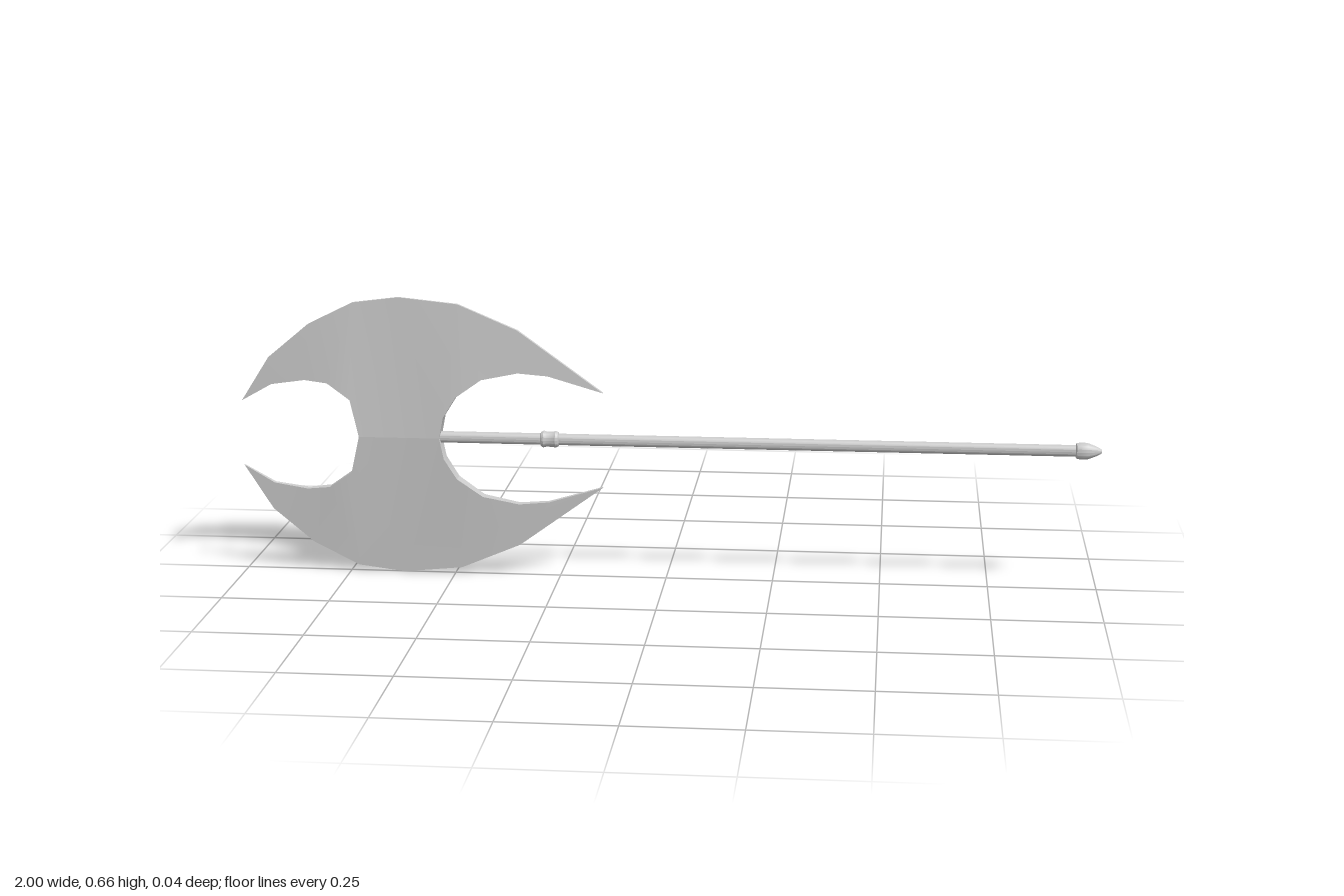
import * as THREE from 'three';
import { toCreasedNormals } from 'three/addons/utils/BufferGeometryUtils.js';

const CENTRE_Y = 0.33;

// Points are [x, height above the centre line, half thickness]
const tipL = [-1, 0.078, 0.003], tipR = [-0.147, 0.113, 0.005];
const o1 = [-0.933, 0.183, 0.004], o2 = [-0.837, 0.263, 0.004], o3 = [-0.73, 0.316, 0.004];
const o4 = [-0.623, 0.33, 0.003], o5 = [-0.484, 0.316, 0.004], o6 = [-0.345, 0.257, 0.005];

// Cross-sections from the left tip to the right tip: [cutting edge, inner rim]
const sections = [
  [tipL, tipL],
  [o1, [-0.928, 0.119, 0.006]],
  [o2, [-0.848, 0.131, 0.009]],
  [o3, [-0.794, 0.125, 0.013]],
  [o3, [-0.74, 0.087, 0.018]],
  [o4, [-0.72, 0, 0.02]],
  [o4, [-0.53, 0, 0.02]],
  [o5, [-0.52, 0.05, 0.019]],
  [o5, [-0.49, 0.098, 0.0175]],
  [o5, [-0.43, 0.14, 0.0135]],
  [o6, [-0.345, 0.157, 0.01]],
  [o6, [-0.275, 0.151, 0.008]],
  [tipR, tipR],
];

// One half of the double blade; side is 1 for upper, -1 for lower
function bladeGeometry(side) {
  const positions = [];
  const at = (p, z) => [p[0], p[1] * side, p[2] * z];
  const same = (a, b) => a.every((v, i) => v === b[i]);
  const tri = (a, b, c) => {
    if (same(a, b) || same(b, c) || same(a, c)) return;
    positions.push(...a, ...(side > 0 ? b : c), ...(side > 0 ? c : b));
  };
  const quad = (a, b, c, d) => { tri(a, b, c); tri(a, c, d); };

  for (let i = 0; i < sections.length - 1; i++) {
    const [a0, b0] = sections[i], [a1, b1] = sections[i + 1];
    // Front and back faces
    quad(at(a0, 1), at(b0, 1), at(b1, 1), at(a1, 1));
    quad(at(a0, -1), at(a1, -1), at(b1, -1), at(b0, -1));
    // Cutting edge, then inner rim (open where the halves meet)
    quad(at(a0, 1), at(a1, 1), at(a1, -1), at(a0, -1));
    if (b0[1] || b1[1]) quad(at(b0, 1), at(b0, -1), at(b1, -1), at(b1, 1));
  }
  const geometry = new THREE.BufferGeometry();
  geometry.setAttribute('position', new THREE.Float32BufferAttribute(positions, 3));
  geometry.computeVertexNormals();
  return toCreasedNormals(geometry, 0.4);
}

// Turned part along x from [x, radius] pairs
function turned(profile) {
  const points = profile.map(([x, r]) => new THREE.Vector2(r, x));
  const geometry = new THREE.LatheGeometry(points, 16);
  geometry.rotateZ(-Math.PI / 2);
  return toCreasedNormals(geometry, 0.5);
}

export function createModel() {
  const model = new THREE.Group();
  model.name = 'doubleAxe';
  const steel = new THREE.MeshStandardMaterial({ color: 0xcccccc });
  steel.name = 'steel';

  const add = (name, geometry) => {
    const mesh = new THREE.Mesh(geometry, steel);
    mesh.name = name;
    mesh.position.y = CENTRE_Y;
    model.add(mesh);
  };

  add('upperBlade', bladeGeometry(1));
  add('lowerBlade', bladeGeometry(-1));
  add('shaft', turned([[-0.535, 0], [-0.535, 0.0135], [0.95, 0.0135]]));
  add('collar', turned([
    [-0.294, 0.013], [-0.292, 0.017], [-0.286, 0.02], [-0.28, 0.018],
    [-0.264, 0.018], [-0.258, 0.02], [-0.252, 0.017], [-0.25, 0.013],
  ]));
  add('pommel', turned([
    [0.94, 0.013], [0.943, 0.018], [0.952, 0.02], [0.968, 0.019],
    [0.986, 0.012], [0.996, 0.007], [1, 0.004], [1, 0],
  ]));
  return model;
}
